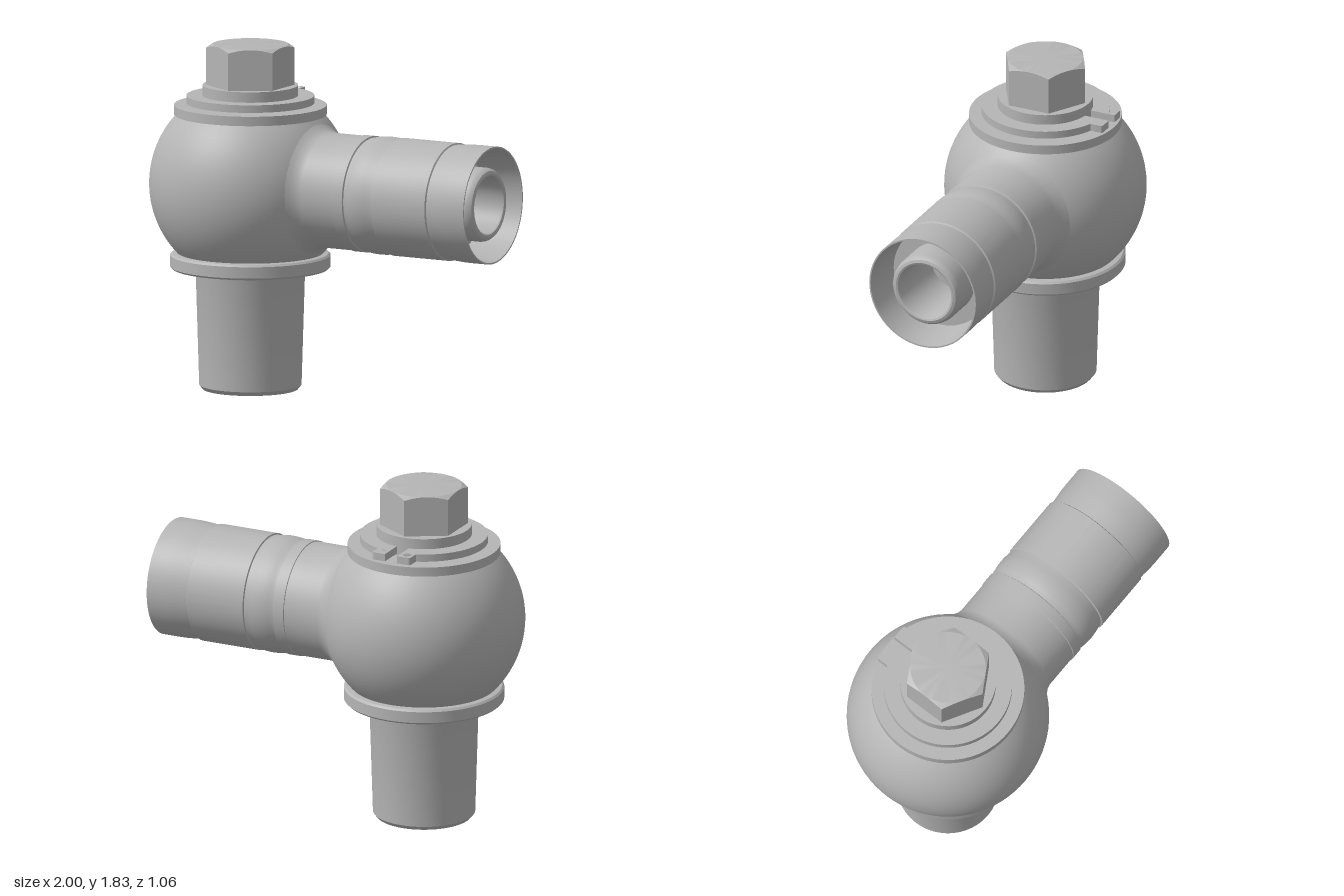
import * as THREE from 'three';
import { toCreasedNormals } from 'three/addons/utils/BufferGeometryUtils.js';

const AXIS_X = -0.47; // vertical axis of the ball and stem
const PIPE_Y = 1.09; // height of the ball centre and side pipe

export function createModel() {
  const group = new THREE.Group();
  const steel = new THREE.MeshStandardMaterial({ color: 0xb5b5b5 });
  steel.name = 'steel grey';

  const add = (name, geometry, x, y) => {
    const mesh = new THREE.Mesh(geometry, steel);
    mesh.name = name;
    mesh.position.set(x, y, 0);
    group.add(mesh);
    return mesh;
  };
  // Profile points are [radius, height]
  const turned = (points, crease = 0.45) => toCreasedNormals(
    new THREE.LatheGeometry(points.map(([r, y]) => new THREE.Vector2(r, y)), 80), crease);

  // Ball body, cut flat at top and bottom
  const R = 0.53, low = -0.375, high = 0.37, ball = [[0, low]];
  for (let i = 0; i <= 28; i++) {
    const a = THREE.MathUtils.lerp(Math.asin(low / R), Math.asin(high / R), i / 28);
    ball.push([R * Math.cos(a), R * Math.sin(a)]);
  }
  ball.push([0, high]);
  add('ballBody', turned(ball), AXIS_X, PIPE_Y);

  // Tapered hollow stem
  add('taperedStem', turned([
    [0, 0.9], [0.155, 0.86], [0.155, 0], [0.25, 0], [0.268, 0.022],
    [0.286, 0.615], [0.29, 0.63], [0.3, 0.645], [0, 0.91],
  ].slice(0, 8)), AXIS_X, 0);

  // Bottom collar, open in the middle for the stem bore
  add('bottomCollar', turned([
    [0.16, 0.64], [0.41, 0.64], [0.42, 0.65], [0.42, 0.71], [0.41, 0.72], [0.37, 0.725],
  ]), AXIS_X, 0);

  // Stacked top discs
  add('topCollar', turned([[0, 1.455], [0.4, 1.455], [0.4, 1.505], [0, 1.505]]), AXIS_X, 0);
  add('washer', turned([[0, 1.5], [0.25, 1.5], [0.25, 1.61], [0, 1.61]]), AXIS_X, 0);

  // Retaining ring with two drilled ears toward the back
  const ring = new THREE.Shape();
  const outer = 0.335, inner = 0.24, gap = 0.035, ear = 0.112, tip = 0.385, c = 0.014;
  const aOut = Math.acos(ear / outer), aIn = Math.acos(gap / inner);
  ring.moveTo(gap, tip);
  ring.lineTo(ear - c, tip);
  ring.quadraticCurveTo(ear, tip, ear, tip - c);
  ring.lineTo(ear, outer * Math.sin(aOut));
  ring.absarc(0, 0, outer, aOut, Math.PI - aOut, true);
  ring.lineTo(-ear, tip - c);
  ring.quadraticCurveTo(-ear, tip, -ear + c, tip);
  ring.lineTo(-gap, tip);
  ring.lineTo(-gap, inner * Math.sin(aIn));
  ring.absarc(0, 0, inner, Math.PI - aIn, aIn, false);
  ring.closePath();
  for (const s of [-1, 1]) {
    const hole = new THREE.Path();
    hole.absarc(s * 0.075, 0.345, 0.022, 0, Math.PI * 2, true);
    ring.holes.push(hole);
  }
  const ringGeo = new THREE.ExtrudeGeometry(ring, { depth: 0.04, bevelEnabled: false, curveSegments: 48 });
  ringGeo.rotateX(-Math.PI / 2);
  add('retainingRing', toCreasedNormals(ringGeo, 0.4), AXIS_X, 1.515);

  // Hexagonal bolt head: a lathe pushed out to a hexagon, corners chamfered by a cone
  const flat = 0.2, top = 1.825;
  const hex = new THREE.LatheGeometry(
    [[0, 1.6], [1, 1.6], [1, top], [flat - 0.003, top], [0, top]].map(([r, y]) => new THREE.Vector2(r, y)), 72);
  const p = hex.attributes.position;
  for (let i = 0; i < p.count; i++) {
    const x = p.getX(i), z = p.getZ(i);
    if (Math.hypot(x, z) < 0.9) continue;
    const a = Math.atan2(z, x), sector = Math.PI / 3;
    const r = flat / Math.cos(a - Math.round(a / sector) * sector);
    const y = p.getY(i) > 1.7 ? top - (r - flat) * 0.58 : p.getY(i);
    p.setXYZ(i, r * Math.cos(a), y, r * Math.sin(a));
  }
  add('hexBoltHead', toCreasedNormals(hex, 0.35), AXIS_X, 0);

  // Side pipe: flared root, grooved sleeve, open end with an inner nipple and stepped bore
  const pipe = turned([
    [0.35, -0.075], [0.328, -0.05], [0.31, -0.02], [0.302, 0.01],
    [0.302, 0.2], [0.306, 0.202], [0.306, 0.262], [0.298, 0.266], [0.298, 0.272],
    [0.304, 0.29], [0.309, 0.33], [0.31, 0.36], [0.308, 0.39], [0.302, 0.428],
    [0.302, 0.434], [0.31, 0.438], [0.31, 0.765], [0.302, 0.77],
    [0.304, 0.8], [0.309, 0.86], [0.31, 0.9], [0.31, 1],
    [0.302, 1], [0.275, 0.78], [0.195, 0.78],
    [0.195, 0.94], [0.191, 0.96], [0.18, 0.975], [0.165, 0.98], [0.155, 0.976], [0.15, 0.965],
    [0.145, 0.6], [0.085, 0.6], [0.075, 0.2], [0, 0.2],
  ], 0.6);
  pipe.rotateZ(-Math.PI / 2);
  add('sidePipe', pipe, 0, PIPE_Y);

  return group;
}
